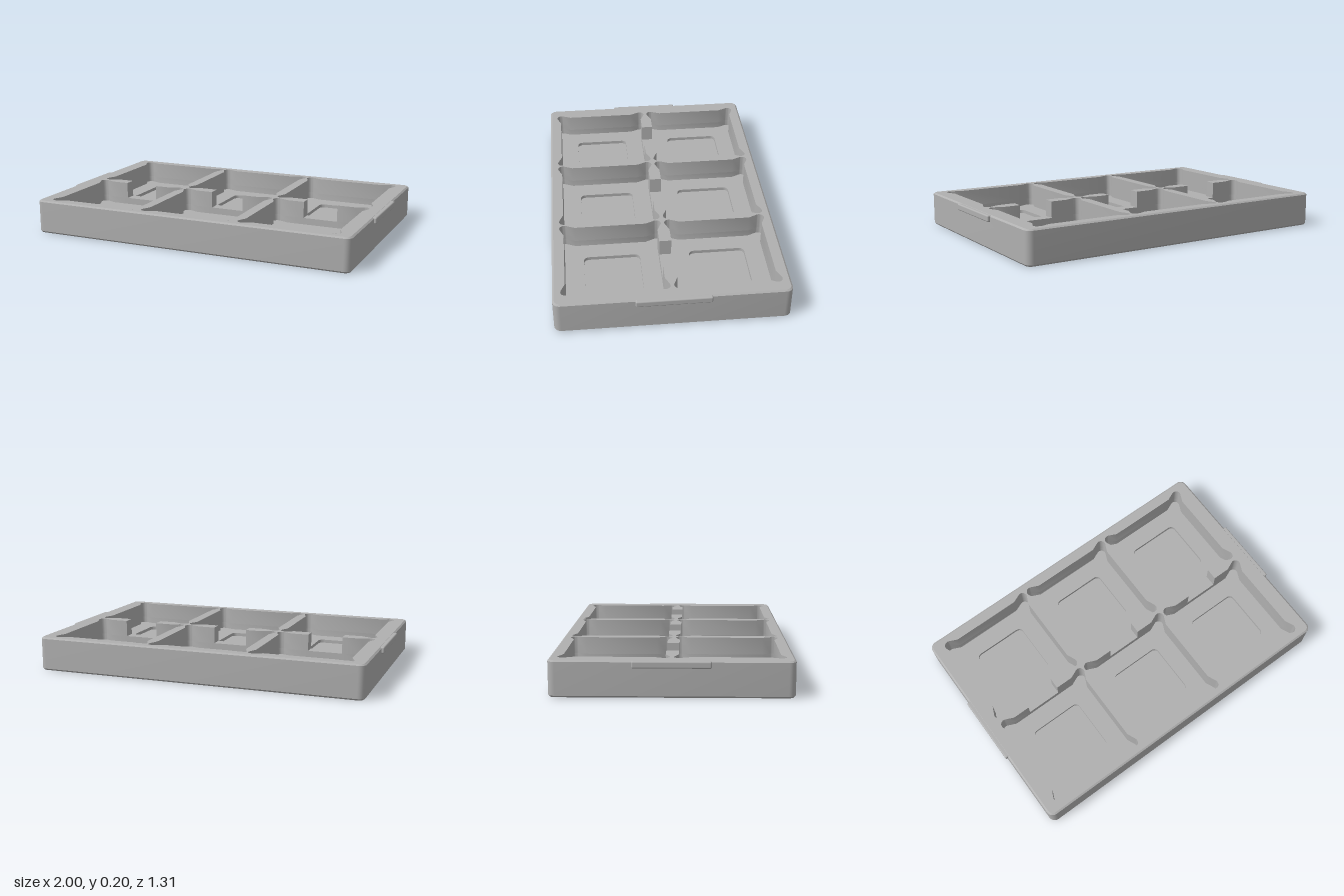
import * as THREE from 'three';
import { toCreasedNormals } from 'three/addons/utils/BufferGeometryUtils.js';
import { RoundedBoxGeometry } from 'three/addons/geometries/RoundedBoxGeometry.js';

// Loops are counter-clockwise [x, v] points seen from above, with v = -z.
const HEIGHT = 0.2, NOTCH_Y = 0.1, FLOOR_Y = 0.06, RECESS_Y = 0.04;
const COLUMN_X = [-0.61, 0, 0.61], ROW_V = 0.31, NOTCH = 0.105;

function roundedRect(hx, hv, r, steps = 6) {
  const pts = [];
  [[1, 1], [-1, 1], [-1, -1], [1, -1]].forEach(([sx, sv], q) => {
    for (let i = 0; i <= steps; i++) {
      const a = (q + i / steps) * Math.PI / 2;
      pts.push([sx * (hx - r) + r * Math.cos(a), sv * (hv - r) + r * Math.sin(a)]);
    }
  });
  return pts;
}

// Square pocket with flared round corners, open at the middle of its +v side
function pocketLoop() {
  const pts = [[-NOTCH, 0.275]];
  for (let q = 0; q < 4; q++) {
    const corner = [[-0.21, 0.275]];
    for (let i = 0; i <= 8; i++) {
      const a = THREE.MathUtils.degToRad(70 + 130 * i / 8);
      corner.push([-0.272 + 0.028 * Math.cos(a), 0.272 + 0.028 * Math.sin(a)]);
    }
    corner.push([-0.275, 0.21]);
    const c = [1, 0, -1, 0][q], s = [0, 1, 0, -1][q];
    corner.forEach(([x, v]) => pts.push([c * x - s * v, s * x + c * v]));
  }
  pts.push([NOTCH, 0.275]);
  return pts;
}

const shift = (loop, dx, dv) => loop.map(([x, v]) => [x + dx, v + dv]);
const turn = (loop) => loop.map(([x, v]) => [-x, -v]);

// Walls through a stack of [loop, y] rings; inward turns them to face the inside
function wall(rings, inward = false) {
  const pos = [];
  for (let k = 0; k + 1 < rings.length; k++) {
    const [lo, y0] = rings[k], [hi, y1] = rings[k + 1];
    for (let i = 0; i < lo.length; i++) {
      const j = (i + 1) % lo.length;
      const a = [lo[i][0], y0, -lo[i][1]], b = [lo[j][0], y0, -lo[j][1]];
      const c = [hi[j][0], y1, -hi[j][1]], d = [hi[i][0], y1, -hi[i][1]];
      const tris = inward ? [a, c, b, a, d, c] : [a, b, c, a, c, d];
      tris.forEach((p) => pos.push(...p));
    }
  }
  const g = new THREE.BufferGeometry();
  g.setAttribute('position', new THREE.Float32BufferAttribute(pos, 3));
  return toCreasedNormals(g, 0.6);
}

// Flat face at height y, facing up or down, with optional holes
function face(loop, y, holes = [], down = false) {
  const vec = (l) => l.map(([x, v]) => new THREE.Vector2(x, v));
  const shape = new THREE.Shape(vec(loop));
  holes.forEach((h) => shape.holes.push(new THREE.Path(vec(h))));
  const g = new THREE.ShapeGeometry(shape);
  return g.rotateX(down ? Math.PI / 2 : -Math.PI / 2).translate(0, y, 0);
}

export function createModel() {
  const tray = new THREE.Group();
  tray.name = 'compartmentTray';
  const grey = new THREE.MeshStandardMaterial({ color: 0xb0b0b0 });
  grey.name = 'grey';
  const add = (name, geometry, parent = tray) => {
    const m = new THREE.Mesh(geometry, grey);
    m.name = name;
    parent.add(m);
    return m;
  };

  // Outer shell with softened top and bottom edges
  const full = roundedRect(0.985, 0.655, 0.04);
  const inset = roundedRect(0.975, 0.645, 0.03);
  add('outerWall', wall([[inset, 0], [full, 0.01], [full, HEIGHT - 0.008], [inset, HEIGHT]]));
  add('underside', face(inset, 0, [], true));

  // Each column is a front and a back pocket joined through a notch
  const front = shift(pocketLoop(), 0, -ROW_V);
  const columnLoop = [...front, ...turn(front)];
  const columns = COLUMN_X.map((x) => shift(columnLoop, x, 0));
  add('topRim', face(inset, HEIGHT, columns));

  const recess = roundedRect(0.165, 0.165, 0.03);
  const notchFloor = roundedRect(NOTCH, ROW_V - 0.275, 0, 1);
  COLUMN_X.forEach((x, i) => {
    const column = new THREE.Group();
    column.name = 'column' + (i + 1);
    tray.add(column);
    add('upperPocketWall', wall([[columns[i], NOTCH_Y], [columns[i], HEIGHT]], true), column);
    add('notchFloor', face(shift(notchFloor, x, 0), NOTCH_Y), column);
    [front, turn(front)].forEach((loop, row) => {
      const pocket = shift(loop, x, 0);
      const dip = shift(recess, x, row ? ROW_V : -ROW_V);
      add('lowerPocketWall', wall([[pocket, FLOOR_Y], [pocket, NOTCH_Y]], true), column);
      add('pocketFloor', face(pocket, FLOOR_Y, [dip]), column);
      add('recessWall', wall([[dip, RECESS_Y], [dip, FLOOR_Y]], true), column);
      add('recessFloor', face(dip, RECESS_Y), column);
    });
  });

  // Finger lips at both ends
  for (const side of [1, -1]) {
    const lip = add(side > 0 ? 'leftLip' : 'rightLip', new RoundedBoxGeometry(0.06, 0.038, 0.42, 3, 0.008));
    lip.position.set(side * 0.97, 0.18, 0);
  }
  return tray;
}
